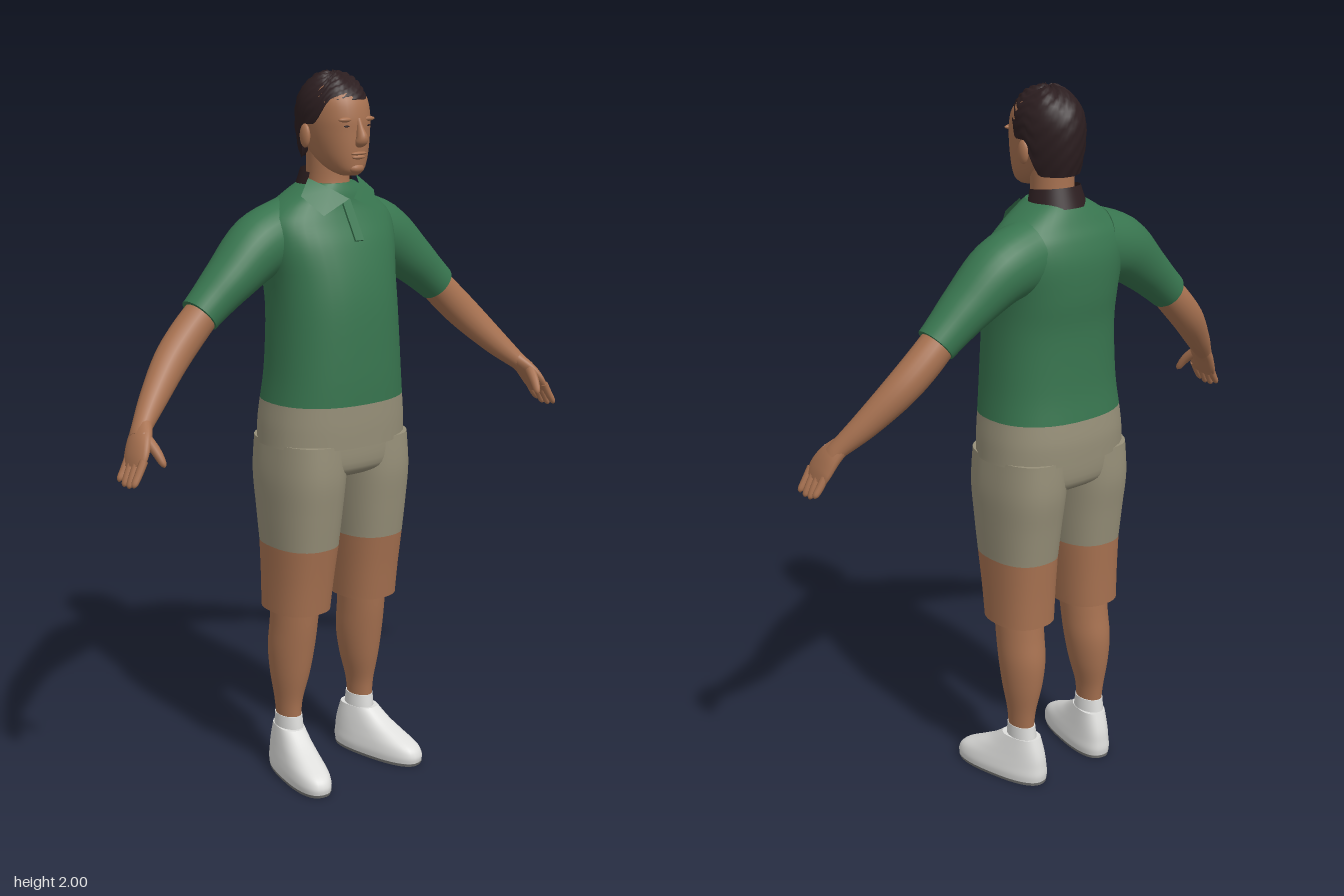
import * as THREE from 'three';

const mat = (name, color, side = THREE.FrontSide) => {
  const m = new THREE.MeshStandardMaterial({ color, side });
  m.name = name;
  return m;
};

// Smoothly resample rows of numbers (Catmull-Rom on every column)
function resample(rows, steps) {
  const out = [], n = rows.length - 1;
  for (let i = 0; i < n; i++) {
    const [a, b, c, d] = [i - 1, i, i + 1, i + 2].map(k => rows[Math.min(Math.max(k, 0), n)]);
    for (let s = 0; s < steps; s++) {
      const t = s / steps;
      out.push(b.map((v, k) => v + 0.5 * t * (c[k] - a[k] + t * (2 * a[k] - 5 * v + 4 * c[k] - d[k]
        + t * (3 * (v - c[k]) + d[k] - a[k])))));
    }
  }
  out.push(rows[n]);
  return out;
}

// Skin closed rings of points, with flat caps on both ends
function skin(rings) {
  const pos = [], idx = [], n = rings[0].length;
  rings.forEach(r => r.forEach(p => pos.push(p.x, p.y, p.z)));
  for (let i = 0; i < rings.length - 1; i++) for (let j = 0; j < n; j++) {
    const a = i * n + j, b = i * n + (j + 1) % n;
    idx.push(a, a + n, b, b, a + n, b + n);
  }
  [rings[0], rings[rings.length - 1]].forEach((r, end) => {
    const base = pos.length / 3, c = new THREE.Vector3();
    r.forEach(p => { pos.push(p.x, p.y, p.z); c.addScaledVector(p, 1 / n); });
    pos.push(c.x, c.y, c.z);
    for (let j = 0; j < n; j++) {
      const a = base + j, b = base + (j + 1) % n;
      idx.push(...(end ? [a, base + n, b] : [a, b, base + n]));
    }
  });
  const g = new THREE.BufferGeometry();
  g.setAttribute('position', new THREE.Float32BufferAttribute(pos, 3));
  g.setIndex(idx);
  g.computeVertexNormals();
  return g;
}

// Level sections, bottom to top: [y, centre x, half width, front z, back z]
function stack(rows, power = 2.2, seg = 36) {
  const e = v => Math.sign(v) * Math.abs(v) ** (2 / power);
  return skin(resample(rows, 5).map(([y, cx, rx, zf, zb]) => Array.from({ length: seg }, (_, j) => {
    const a = j / seg * Math.PI * 2;
    return new THREE.Vector3(cx + rx * e(Math.cos(a)), y, (zf + zb) / 2 + (zf - zb) / 2 * e(Math.sin(a)));
  })));
}

// Limb sections square to a path: [x, y, z, thickness radius, depth radius]
function limb(rows, seg = 20) {
  const r = resample(rows, 5), at = k => new THREE.Vector3(...r[Math.min(Math.max(k, 0), r.length - 1)]);
  return skin(r.map((s, i) => {
    const t = at(i + 1).sub(at(i - 1)).normalize();
    const v = new THREE.Vector3(0, 0, 1).addScaledVector(t, -t.z).normalize();
    const u = t.clone().cross(v);
    return Array.from({ length: seg }, (_, j) => {
      const a = j / seg * Math.PI * 2;
      return at(i).addScaledVector(u, s[3] * Math.cos(a)).addScaledVector(v, s[4] * Math.sin(a));
    });
  }));
}

function mirrored(geo) {
  const g = geo.clone().scale(-1, 1, 1), ix = g.index.array;
  for (let i = 0; i < ix.length; i += 3) [ix[i], ix[i + 1]] = [ix[i + 1], ix[i]];
  g.computeVertexNormals();
  return g;
}

const blob = (x, y, z, rx, ry, rz) => new THREE.SphereGeometry(1, 18, 12).scale(rx, ry, rz).translate(x, y, z);

// Hair cap: falls to a hairline that is high in front and low at the nape
function hairGeometry() {
  const seg = 60, rows = 18, rings = [], ss = THREE.MathUtils.smoothstep;
  for (let i = 0; i <= rows; i++) {
    rings.push(Array.from({ length: seg }, (_, j) => {
      const a = j / seg * Math.PI * 2;
      const f = Math.abs(Math.atan2(Math.cos(a), Math.sin(a))) * 180 / Math.PI;
      const low = 1.925 - 0.065 * ss(f, 45, 78) - 0.095 * ss(f, 90, 118);
      const y = low + (1.992 - low) * Math.sin(i / rows * Math.PI / 2);
      const k = y > 1.88 ? Math.max(0, 1 - ((y - 1.88) / 0.1125) ** 2.3) ** 0.5 : 1 - 0.16 * ((1.88 - y) / 0.11) ** 2;
      const bump = 0.003 * Math.sin(a * 9 + i * 1.3) * Math.sin(i * 1.1 + a * 4);
      return new THREE.Vector3((0.09 * k + bump) * Math.cos(a), y + 2 * bump * ss(y, 1.93, 1.98),
        -0.007 + (0.115 * k + bump) * Math.sin(a));
    }));
  }
  return skin(rings);
}

export function createModel() {
  const model = new THREE.Group();
  const tan = mat('skin', 0xa87251), green = mat('shirt green', 0x38754f, THREE.DoubleSide);
  const khaki = mat('khaki', 0x979079), white = mat('shoe white', 0xdededc);
  const dark = mat('dark hair', 0x2c1e20, THREE.DoubleSide), grey = mat('sole grey', 0x777775);
  const add = (name, geo, m) => {
    const mesh = new THREE.Mesh(geo, m);
    mesh.name = name;
    model.add(mesh);
  };
  const pair = (name, geo, m) => {
    add('left ' + name, geo, m);
    add('right ' + name, mirrored(geo), m);
  };

  // Shirt body and its khaki hem band
  add('shirt body', stack([
    [1.11, 0, 0.205, 0.157, -0.175], [1.2, 0, 0.195, 0.157, -0.165], [1.35, 0, 0.187, 0.15, -0.163],
    [1.45, 0, 0.19, 0.135, -0.173], [1.54, 0, 0.205, 0.108, -0.174], [1.6, 0, 0.205, 0.078, -0.16],
    [1.64, 0, 0.17, 0.06, -0.14], [1.675, 0, 0.118, 0.052, -0.122], [1.7, 0, 0.075, 0.042, -0.105]], 2.3), green);
  add('shirt hem', stack([
    [0.99, 0, 0.215, 0.153, -0.178], [1.05, 0, 0.212, 0.156, -0.18], [1.11, 0, 0.205, 0.157, -0.175]], 2.3), khaki);
  pair('sleeve', limb([
    [0.11, 1.565, -0.06, 0.1, 0.09], [0.21, 1.535, -0.058, 0.09, 0.088], [0.31, 1.46, -0.05, 0.07, 0.074],
    [0.37, 1.41, -0.047, 0.06, 0.063], [0.413, 1.373, -0.045, 0.055, 0.057]], 28), green);

  // Collar: dark band behind, two folded points in front
  add('collar band', new THREE.CylinderGeometry(0.072, 0.086, 0.055, 36, 1, true, Math.PI * 0.42, Math.PI * 1.16)
    .scale(1, 1, 0.98).rotateX(0.1).translate(0, 1.703, -0.034), dark);
  const flap = new THREE.BufferGeometry();
  flap.setAttribute('position', new THREE.Float32BufferAttribute([
    0.082, 1.715, -0.005, 0.125, 1.672, 0.02, 0.092, 1.622, 0.077, 0.008, 1.662, 0.08, 0.05, 1.69, 0.052], 3));
  flap.setIndex([0, 4, 1, 1, 4, 2, 2, 4, 3]);
  flap.computeVertexNormals();
  pair('collar point', flap, green);
  add('button placket', new THREE.BoxGeometry(0.028, 0.12, 0.006).rotateX(-0.53).translate(0, 1.604, 0.084), green);

  // Shorts: seat, legs and skin-coloured lower legs
  add('shorts seat', stack([
    [0.9, 0, 0.17, 0.1, -0.13], [0.93, 0, 0.205, 0.137, -0.16], [1.02, 0, 0.208, 0.143, -0.168]], 2.4), khaki);
  pair('shorts leg', stack([
    [0.7, 0.115, 0.094, 0.113, -0.134], [0.8, 0.114, 0.1, 0.127, -0.148], [0.9, 0.112, 0.105, 0.139, -0.163],
    [1.0, 0.105, 0.105, 0.138, -0.163]], 2.4), khaki);
  pair('shorts cuff', stack([
    [0.505, 0.119, 0.086, 0.082, -0.124], [0.6, 0.117, 0.089, 0.096, -0.128], [0.7, 0.115, 0.094, 0.113, -0.134]], 2.4), tan);

  // Calves, socks and shoes turned slightly outward
  pair('calf', stack([
    [0.16, 0.131, 0.031, 0.002, -0.085], [0.22, 0.131, 0.036, 0.006, -0.092], [0.3, 0.127, 0.052, 0.024, -0.107],
    [0.38, 0.124, 0.062, 0.038, -0.113], [0.46, 0.122, 0.064, 0.05, -0.104], [0.56, 0.12, 0.066, 0.06, -0.095]], 2), tan);
  pair('sock', stack([
    [0.08, 0.13, 0.036, 0.012, -0.1], [0.13, 0.13, 0.036, 0.01, -0.095], [0.175, 0.131, 0.034, 0.005, -0.09]], 2), white);
  const turn = g => g.translate(0, 0, 0.06).rotateY(0.2).translate(0.127, 0, -0.06);
  pair('shoe', turn(stack([
    [0.008, 0, 0.055, 0.184, -0.122], [0.028, 0, 0.057, 0.186, -0.125], [0.052, 0, 0.054, 0.17, -0.123],
    [0.078, 0, 0.049, 0.118, -0.12], [0.105, 0, 0.044, 0.065, -0.113], [0.138, 0, 0.038, 0.018, -0.102]], 2.5)), white);
  pair('sole', turn(stack([
    [0, 0, 0.054, 0.182, -0.121], [0.009, 0, 0.056, 0.186, -0.123]], 2.5)), grey);

  // Arms and hands
  pair('forearm', limb([
    [0.38, 1.4, -0.046, 0.046, 0.048], [0.45, 1.333, -0.042, 0.049, 0.048], [0.52, 1.265, -0.026, 0.047, 0.045],
    [0.6, 1.183, 0.012, 0.037, 0.036], [0.658, 1.125, 0.047, 0.025, 0.029], [0.675, 1.105, 0.06, 0.021, 0.032]]), tan);
  pair('palm', limb([
    [0.65, 1.135, 0.042, 0.022, 0.027], [0.677, 1.1, 0.066, 0.021, 0.042], [0.697, 1.065, 0.082, 0.017, 0.048],
    [0.71, 1.038, 0.088, 0.011, 0.043]]), tan);
  for (let i = 0; i < 4; i++) {
    const z = 0.053 + i * 0.023, tip = [0.008, 0, 0, 0.006][i];
    pair('finger ' + (i + 1), limb([
      [0.7, 1.06, z, 0.011, 0.012], [0.72, 1.025, z + 0.003, 0.01, 0.011],
      [0.733, 0.998 + tip, z + 0.005, 0.008, 0.009], [0.735, 0.99 + tip, z + 0.005, 0.002, 0.002]], 10), tan);
  }
  pair('thumb', limb([
    [0.672, 1.115, 0.08, 0.014, 0.016], [0.662, 1.08, 0.118, 0.013, 0.014],
    [0.655, 1.05, 0.14, 0.009, 0.01], [0.653, 1.04, 0.145, 0.002, 0.002]], 10), tan);

  // Neck, head and face
  add('neck', stack([
    [1.66, 0, 0.066, 0.046, -0.095], [1.71, 0, 0.058, 0.036, -0.085], [1.8, 0, 0.06, 0.04, -0.085]], 2), tan);
  add('head', stack([
    [1.725, 0, 0.024, 0.092, 0.045], [1.738, 0, 0.043, 0.106, 0.005], [1.765, 0, 0.061, 0.111, -0.045],
    [1.8, 0, 0.073, 0.113, -0.08], [1.84, 0, 0.081, 0.113, -0.1], [1.88, 0, 0.084, 0.112, -0.108],
    [1.925, 0, 0.08, 0.1, -0.105], [1.96, 0, 0.06, 0.07, -0.08], [1.975, 0, 0.03, 0.035, -0.04]], 2.2), tan);
  add('nose', limb([
    [0, 1.805, 0.108, 0.01, 0.006], [0, 1.814, 0.119, 0.017, 0.013], [0, 1.826, 0.123, 0.015, 0.017],
    [0, 1.85, 0.114, 0.009, 0.012], [0, 1.876, 0.106, 0.007, 0.008]]), tan);
  add('upper lip', blob(0, 1.785, 0.11, 0.026, 0.005, 0.009), tan);
  add('lower lip', blob(0, 1.775, 0.109, 0.022, 0.006, 0.009), tan);
  add('chin', blob(0, 1.745, 0.096, 0.025, 0.015, 0.018), tan);
  pair('brow', blob(0.034, 1.874, 0.1, 0.026, 0.007, 0.01), tan);
  pair('eye', blob(0.034, 1.857, 0.104, 0.012, 0.0025, 0.004).rotateY(0), dark);
  pair('ear', blob(0.088, 1.828, -0.01, 0.011, 0.032, 0.019), tan);
  add('hair', hairGeometry(), dark);

  return model;
}
